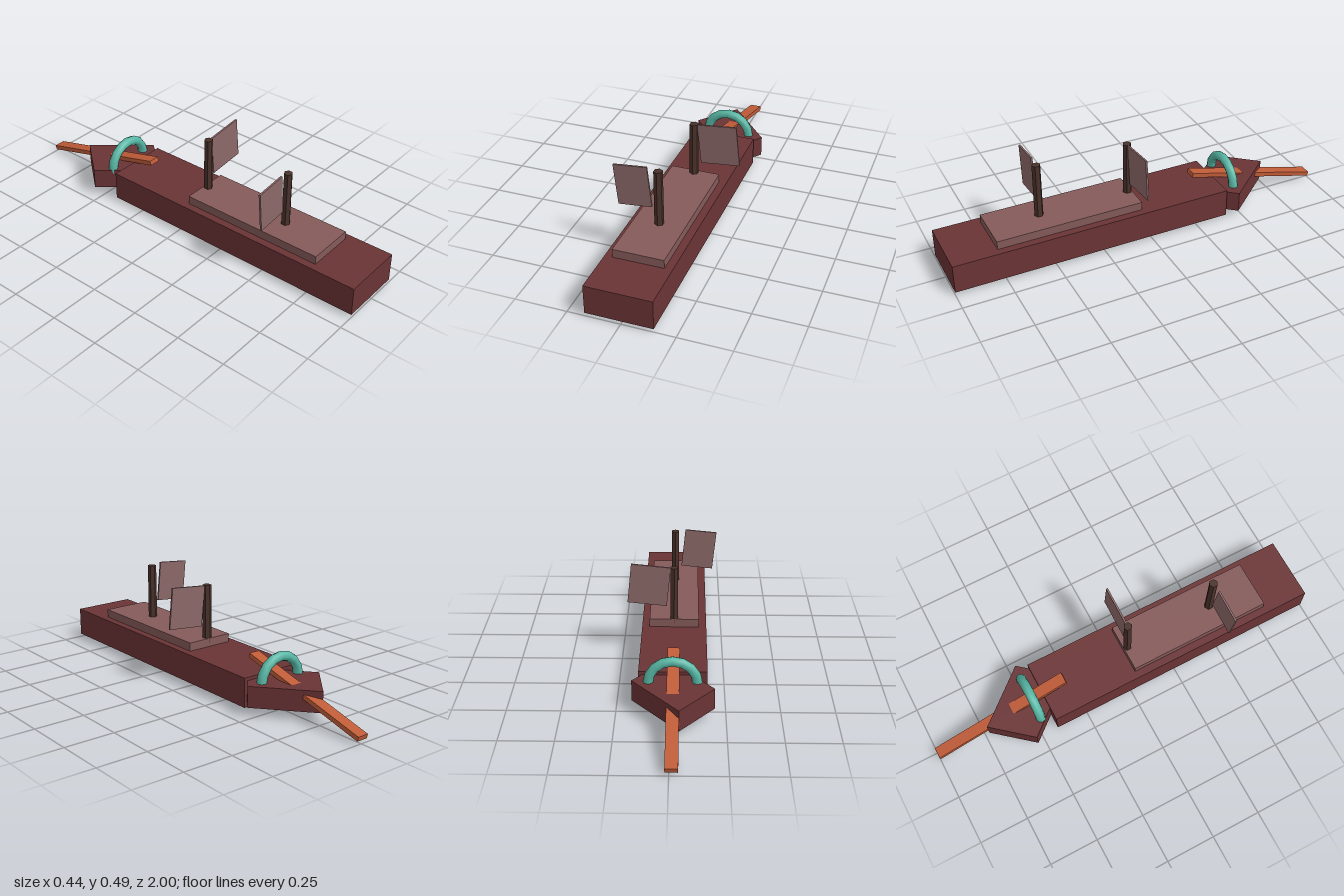
import * as THREE from 'three';

const CX = -0.0085; // centre line of the ship

function mat(color, flatShading = true) {
  const m = new THREE.MeshStandardMaterial({ flatShading });
  m.color.set(color);
  return m;
}

export function createModel() {
  const group = new THREE.Group();
  const maroon = mat(0x6b3436);
  const rose = mat(0x855a5a);
  const bark = mat(0x4a322b);
  const cloth = mat(0x8c6868);
  const orange = mat(0xc05c38);
  const teal = mat(0x58b8a6, false);

  const add = (name, geometry, material, x, y, z) => {
    const mesh = new THREE.Mesh(geometry, material);
    mesh.name = name;
    mesh.position.set(x, y, z);
    group.add(mesh);
    return mesh;
  };

  // Long hull and the raised deck on it
  add('hull', new THREE.BoxGeometry(0.317, 0.144, 1.415), maroon, CX, 0.089, 0.2925);
  add('deck', new THREE.BoxGeometry(0.243, 0.043, 0.735), rose, CX, 0.1815, 0.4065);

  // Skewed diamond block, its inner corner buried in the hull (shape y = -z)
  const diamond = new THREE.Shape([
    new THREE.Vector2(0.019, 0.277),
    new THREE.Vector2(0.179, 0.469),
    new THREE.Vector2(-0.039, 0.728),
    new THREE.Vector2(-0.199, 0.537),
  ]);
  const block = new THREE.ExtrudeGeometry(diamond, { depth: 0.103, bevelEnabled: false });
  block.rotateX(-Math.PI / 2);
  add('endBlock', block, maroon, 0, 0.042, 0);

  // Hexagonal masts, each with a tilted sail on one side
  const masts = [
    { name: 'front', z: 0.522, top: 0.479, sailX: -0.132, sailW: 0.163 },
    { name: 'rear', z: 0.06, top: 0.472, sailX: 0.115, sailW: 0.194 },
  ];
  for (const { name, z, top, sailX, sailW } of masts) {
    const bottom = 0.18;
    add(name + 'Mast', new THREE.CylinderGeometry(0.0212, 0.0222, top - bottom, 6), bark,
      CX, (top + bottom) / 2, z);
    const sail = add(name + 'Sail', new THREE.BoxGeometry(sailW, 0.204, 0.009), cloth, sailX, 0.3785, z);
    sail.rotation.z = 0.1;
  }

  // Sloping beam through the end block
  const beam = add('beam', new THREE.BoxGeometry(0.057, 0.023, 0.73), orange, CX - 0.002, 0.1175, -0.644);
  beam.rotation.x = -0.256;

  // Ring around the end block
  add('ring', new THREE.TorusGeometry(0.1125, 0.0235, 8, 16), teal, CX, 0.137, -0.477);

  return group;
}
